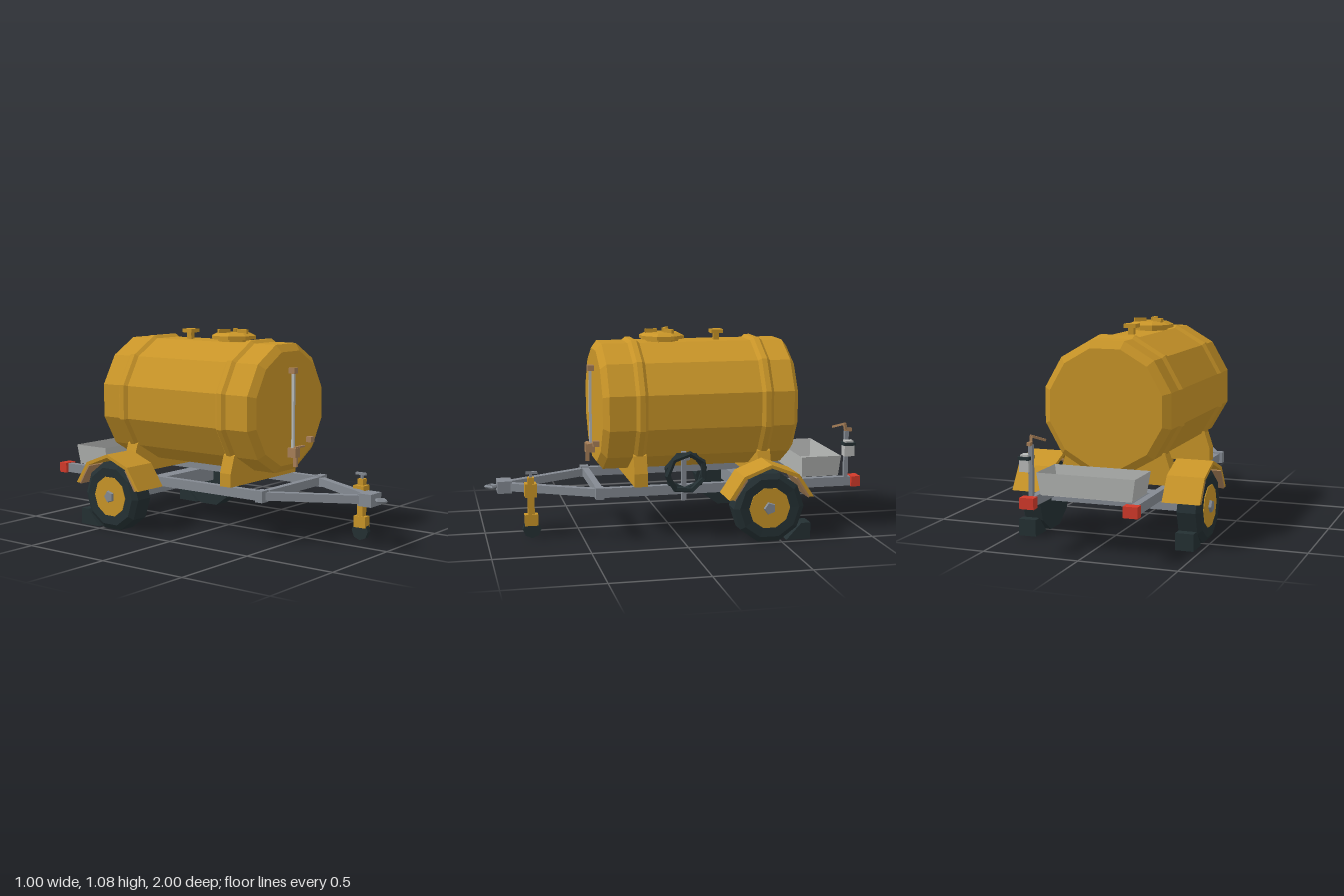
import * as THREE from 'three';

const colour = (name, hex) => {
  const m = new THREE.MeshStandardMaterial({ color: hex });
  m.name = name;
  return m;
};

export function createModel() {
  const model = new THREE.Group();
  model.name = 'tankTrailer';
  const gold = colour('goldPaint', 0xc99528);
  const steel = colour('steelGrey', 0x848a92);
  const rubber = colour('blackRubber', 0x243033);
  const pale = colour('paleGrey', 0xb9bbb9);
  const brass = colour('brownBrass', 0xa88058);
  const red = colour('lampRed', 0xd23a2a);
  const trayMat = colour('trayGrey', 0xb5b7b5);
  trayMat.side = THREE.DoubleSide;

  // Faceted mesh helper
  const add = (name, geo, mat, parent = model) => {
    const g = geo.index ? geo.toNonIndexed() : geo;
    g.computeVertexNormals();
    const mesh = new THREE.Mesh(g, mat);
    mesh.name = name;
    parent.add(mesh);
    return mesh;
  };
  // Box given by its limits on each axis
  const box = (name, mat, [x0, x1], [y0, y1], [z0, z1], parent) => {
    const g = new THREE.BoxGeometry(x1 - x0, y1 - y0, z1 - z0);
    g.translate((x0 + x1) / 2, (y0 + y1) / 2, (z0 + z1) / 2);
    return add(name, g, mat, parent);
  };
  // Bar between two points
  const beam = (name, mat, a, b, w, h) => {
    const p = new THREE.Vector3(...a), q = new THREE.Vector3(...b);
    const mesh = add(name, new THREE.BoxGeometry(w, h, p.distanceTo(q)), mat);
    mesh.position.copy(p).lerp(q, 0.5);
    mesh.lookAt(q);
    return mesh;
  };
  const lathe = (pts, n, start = 0) =>
    new THREE.LatheGeometry(pts.map(p => new THREE.Vector2(...p)), n, start);
  const shape = pts => new THREE.Shape(pts.map(p => new THREE.Vector2(...p)));
  // Side profile of (z, y) points, extruded along x
  const extrudeX = (name, mat, pts, x0, x1) => {
    const g = new THREE.ExtrudeGeometry(shape(pts), { depth: x1 - x0, bevelEnabled: false });
    g.rotateY(-Math.PI / 2).translate(x1, 0, 0);
    return add(name, g, mat);
  };

  // Twelve-sided tank with two raised bands
  const k = 1 / Math.cos(Math.PI / 12);
  const band = z => [[0.335, z - 0.032], [0.35, z - 0.014], [0.35, z + 0.014], [0.335, z + 0.032]];
  const profile = [[0, -0.64], [0.297, -0.64], [0.335, -0.61], ...band(-0.465), ...band(0.205),
    [0.335, 0.375], [0.297, 0.405], [0, 0.405]].map(([r, z]) => [r * k, z]);
  add('tank', lathe(profile, 12, Math.PI / 12).rotateX(Math.PI / 2).translate(0, 0.677, 0), gold);

  // Tank cradles
  const half = [[0.295, 0.28], [0.295, 0.35], [0.265, 0.44], [0.235, 0.46]];
  const outline = [...half, ...half.map(([x, y]) => [-x, y]).reverse()];
  for (const z of [0.17, -0.5]) {
    const g = new THREE.ExtrudeGeometry(shape(outline), { depth: 0.07, bevelEnabled: false });
    add('cradle', g.translate(0, 0, z), gold);
  }

  // Hatch with three clamps
  const hatch = lathe([[0, 0.99], [0.09, 0.99], [0.09, 1.025], [0.122, 1.025], [0.122, 1.043],
    [0.09, 1.058], [0, 1.058]], 8, Math.PI / 8);
  add('hatch', hatch.translate(0, 0, 0.035), gold);
  for (let i = 0; i < 3; i++) {
    const g = new THREE.BoxGeometry(0.018, 0.025, 0.065).translate(0, 1.065, 0.058);
    add('hatchClamp', g.rotateY(i * Math.PI * 2 / 3).translate(0, 0, 0.035), gold);
  }
  // Vent
  box('ventNeck', gold, [-0.015, 0.015], [1.0, 1.05], [-0.28, -0.25]);
  box('ventCap', gold, [-0.033, 0.033], [1.048, 1.068], [-0.298, -0.232]);

  // Level gauge and drain valve
  box('gaugeTube', pale, [-0.007, 0.007], [0.46, 0.87], [0.418, 0.432]);
  box('gaugeTop', brass, [-0.016, 0.016], [0.86, 0.89], [0.4, 0.44]);
  box('valveBody', brass, [-0.022, 0.022], [0.42, 0.47], [0.4, 0.455]);
  box('valveSpout', brass, [-0.008, 0.008], [0.37, 0.42], [0.432, 0.452]);
  box('valveHandle', brass, [-0.01, 0.072], [0.468, 0.477], [0.435, 0.452]);
  box('drainPlug', brass, [0.15, 0.18], [0.48, 0.51], [0.4, 0.438]);

  // Chassis frame, drawbar and hitch
  box('frontCrossbar', steel, [-0.3, 0.3], [0.235, 0.28], [0.402, 0.438]);
  box('axle', steel, [-0.38, 0.38], [0.15, 0.232], [-0.48, -0.4]);
  for (const s of [-1, 1]) {
    const span = (a, b) => s > 0 ? [a, b] : [-b, -a];
    box('sideRail', steel, span(0.248, 0.284), [0.23, 0.28], [-0.95, 0.42]);
    box('frameCorner', steel, span(0.245, 0.3), [0.225, 0.286], [0.4, 0.445]);
    beam('drawbar', steel, [s * 0.262, 0.255, 0.42], [s * 0.02, 0.255, 0.88], 0.038, 0.042);
    box('tailLamp', red, span(0.228, 0.302), [0.228, 0.284], [-1, -0.95]);
  }
  box('coupler', steel, [-0.05, 0.05], [0.223, 0.288], [0.855, 0.932]);
  const ring = new THREE.TorusGeometry(0.031, 0.009, 4, 4).rotateX(Math.PI / 2);
  add('hitchRing', ring.translate(0, 0.255, 0.96), steel);

  // Wheels, chocks and mudguards
  const cy = 0.18, cz = -0.437;
  const arch = [[-0.215, 0.235], [-0.295, 0.355], [-0.44, 0.412], [-0.59, 0.355], [-0.67, 0.235]];
  const inner = [[-0.645, 0.235], [-0.578, 0.34], [-0.44, 0.394], [-0.307, 0.34], [-0.24, 0.235]];
  for (const s of [-1, 1]) {
    const wheel = new THREE.Group();
    wheel.name = 'wheel';
    const turned = (name, pts, n, mat) =>
      add(name, lathe(pts, n).rotateZ(-Math.PI / 2), mat, wheel);
    turned('tyre', [[0, 0.368], [0.189, 0.368], [0.189, 0.465], [0.16, 0.484], [0.11, 0.48], [0, 0.48]], 10, rubber);
    turned('rim', [[0.11, 0.478], [0.11, 0.484], [0, 0.484]], 10, gold);
    turned('hubNut', [[0.036, 0.48], [0.03, 0.497], [0, 0.497]], 5, steel);
    wheel.position.set(0, cy, cz);
    wheel.rotation.y = s > 0 ? 0 : Math.PI;
    model.add(wheel);

    const ends = (a, b) => s > 0 ? [a, b] : [-b, -a];
    extrudeX('chock', rubber, [[-0.535, 0], [-0.665, 0], [-0.665, 0.087], [-0.615, 0.087]], ...ends(0.375, 0.468));
    extrudeX('mudguard', gold, [...arch, ...inner], ...ends(0.305, 0.5));
    // Brown liners inside the end flaps
    for (const [a, b] of [[-0.237, -0.304], [-0.648, -0.581]]) {
      const d = a > -0.44 ? -0.009 : 0.009;
      extrudeX('mudguardLiner', brass, [[a, 0.235], [b, 0.34], [b + d, 0.335], [a + d, 0.23]], ...ends(0.305, 0.5));
    }
  }

  // Open rear tray
  const tray = new THREE.CylinderGeometry(Math.SQRT1_2, Math.SQRT1_2 * 0.93, 0.11, 4, 1, true);
  tray.rotateY(Math.PI / 4).scale(0.51, 1, 0.222).translate(0, 0.336, -0.794);
  add('trayWalls', tray, trayMat);
  box('trayFloor', pale, [-0.237, 0.237], [0.279, 0.287], [-0.897, -0.691]);

  // Rear post with filter and lever
  box('filterPost', steel, [0.26, 0.282], [0.28, 0.53], [-0.936, -0.914]);
  box('filterBowl', pale, [0.272, 0.322], [0.4, 0.462], [-0.955, -0.9]);
  box('filterBand', rubber, [0.267, 0.327], [0.458, 0.474], [-0.96, -0.895]);
  box('filterCap', pale, [0.277, 0.317], [0.474, 0.484], [-0.95, -0.905]);
  beam('leverStem', brass, [0.271, 0.52, -0.925], [0.275, 0.572, -0.913], 0.014, 0.014);
  beam('lever', brass, [0.278, 0.572, -0.916], [0.22, 0.546, -0.866], 0.014, 0.012);
  box('postOutlet', brass, [0.262, 0.28], [0.528, 0.546], [-0.953, -0.925]);

  // Hose coil on its hanger
  box('hoseHanger', steel, [0.282, 0.302], [0.2, 0.46], [-0.035, -0.01]);
  box('hoseHook', steel, [0.282, 0.375], [0.43, 0.45], [-0.035, -0.01]);
  [[0.342, 0.1, 0.2], [0.365, 0.103, 0.55]].forEach(([x, r, turn], i) => {
    const g = new THREE.TorusGeometry(r, 0.016, 5, 7).rotateZ(turn).rotateY(Math.PI / 2);
    const coil = add('hoseCoil', g, rubber);
    coil.position.set(x, 0.362, -0.02);
    coil.rotation.set(0, i ? 0.08 : -0.06, -0.13);
  });

  // Jockey wheel
  box('jackTube', gold, [0.12, 0.156], [0.12, 0.325], [0.748, 0.782]);
  box('jackClamp', gold, [0.1, 0.16], [0.22, 0.292], [0.735, 0.797]);
  box('jackFork', gold, [0.116, 0.16], [0.068, 0.128], [0.73, 0.8]);
  box('jackSpindle', steel, [0.131, 0.146], [0.32, 0.352], [0.758, 0.772]);
  box('jackHandle', steel, [0.131, 0.146], [0.344, 0.356], [0.73, 0.79]);
  const small = new THREE.CylinderGeometry(0.049, 0.049, 0.028, 8).rotateZ(Math.PI / 2);
  add('jackWheel', small.translate(0.139, 0.049, 0.763), rubber);

  return model;
}
